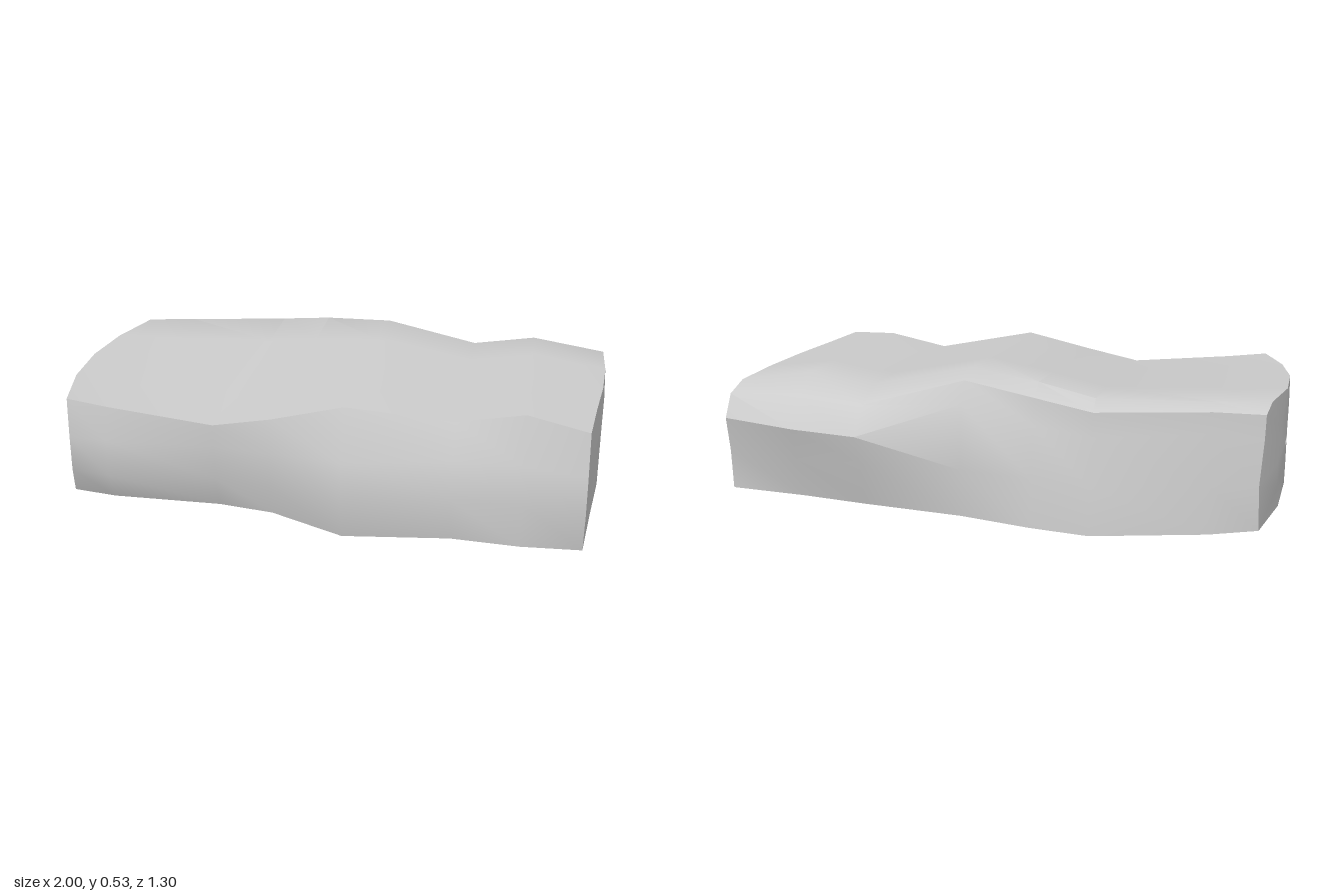
import * as THREE from 'three';
import { toCreasedNormals } from 'three/addons/utils/BufferGeometryUtils.js';

// Cross-sections along x:
// x, topFront z,y, frontBelly z, bottomFront z,y, bottomBack z,y, backBelly z, backShoulder z,y, topBack z,y
const SECTIONS = [
  [-0.92, 0.545, 0.43, 0.55, 0.50, 0.06, -0.50, 0.04, -0.52, -0.49, 0.36, -0.43, 0.475],
  [-0.75, 0.55, 0.41, 0.58, 0.53, 0.06, -0.56, 0.035, -0.55, -0.53, 0.38, -0.47, 0.475],
  [-0.36, 0.56, 0.37, 0.54, 0.50, 0.045, -0.65, 0.03, -0.64, -0.60, 0.36, -0.535, 0.48],
  [-0.15, 0.575, 0.41, 0.58, 0.56, 0.055, -0.62, 0.03, -0.60, -0.56, 0.38, -0.47, 0.51],
  [0.11, 0.57, 0.47, 0.655, 0.62, 0.015, -0.56, 0.03, -0.56, -0.535, 0.43, -0.39, 0.53],
  [0.48, 0.48, 0.41, 0.57, 0.55, 0.005, -0.53, 0.035, -0.57, -0.61, 0.31, -0.395, 0.45],
  [0.72, 0.495, 0.455, 0.57, 0.56, 0.0, -0.52, 0.045, -0.57, -0.60, 0.32, -0.395, 0.485],
  [1.0, 0.58, 0.435, 0.62, 0.57, 0.01, -0.52, 0.055, -0.525, -0.545, 0.33, -0.395, 0.44],
];

// The left-hand end bulges outward; the other end is cut back toward the front
const lowEnd = (z) => -1 + 0.33 * z * z;
const highEnd = (z) => 1 - 0.07 * THREE.MathUtils.clamp((z + 0.05) / 0.6, 0, 1);

// Closed outline of one section as [z, y] points: front, underside, back, top
function outline([, tz, ty, fz, bz, by, kz, ky, mz, sz, sy, uz, uy]) {
  const between = (a, b) => [0.25, 0.5, 0.75].map((t) =>
    [THREE.MathUtils.lerp(a[0], b[0], t), THREE.MathUtils.lerp(a[1], b[1], t)]);
  const top = [tz, ty], back = [uz, uy], low = [bz, by], lowBack = [kz, ky];
  return [
    top,
    [tz * 0.4 + fz * 0.6 + 0.01, 0.29],
    [fz, 0.16],
    low, ...between(low, lowBack), lowBack,
    [mz, 0.2],
    [sz, sy],
    [(sz + uz) / 2 - 0.025, (sy + uy) / 2 + 0.025],
    back, ...between(back, top),
  ];
}

// Outline shrunk toward a centre and laid on a curved end surface
function endRing(section, scale, surface, centreZ, inset = 0) {
  return outline(section).map(([z, y]) => {
    const pz = centreZ + (z - centreZ) * scale;
    return [surface(pz) + inset, 0.25 + (y - 0.25) * scale, pz];
  });
}

// Join successive rings into one closed skin
function loft(rings) {
  const n = rings[0].length, index = [];
  for (let i = 0; i < rings.length - 1; i++) {
    for (let j = 0; j < n; j++) {
      const k = (j + 1) % n;
      const a = i * n + j, d = i * n + k, b = a + n, c = d + n;
      index.push(a, d, c, a, c, b);
    }
  }
  const geometry = new THREE.BufferGeometry();
  geometry.setAttribute('position', new THREE.Float32BufferAttribute(rings.flat(2), 3));
  geometry.setIndex(index);
  return toCreasedNormals(geometry, THREE.MathUtils.degToRad(38));
}

export function createModel() {
  const first = SECTIONS[0], last = SECTIONS[SECTIONS.length - 1];
  const rings = [
    // small pit in the bulging end
    endRing(first, 0.002, lowEnd, -0.1, 0.015),
    endRing(first, 0.06, lowEnd, -0.1, 0.015),
    endRing(first, 0.075, lowEnd, -0.1),
    // bulging end face
    endRing(first, 0.55, lowEnd, -0.05),
    endRing(first, 1, lowEnd, 0),
    // body
    ...SECTIONS.slice(1, -1).map((s) => outline(s).map(([z, y]) => [s[0], y, z])),
    // cut end face
    endRing(last, 1, highEnd, 0),
    endRing(last, 0.5, highEnd, 0),
    endRing(last, 0.002, highEnd, 0),
  ];
  const slab = new THREE.Mesh(loft(rings), new THREE.MeshStandardMaterial({ color: 0xcccccc }));
  slab.name = 'stoneSlab';
  const group = new THREE.Group();
  group.name = 'rock';
  group.add(slab);
  return group;
}
